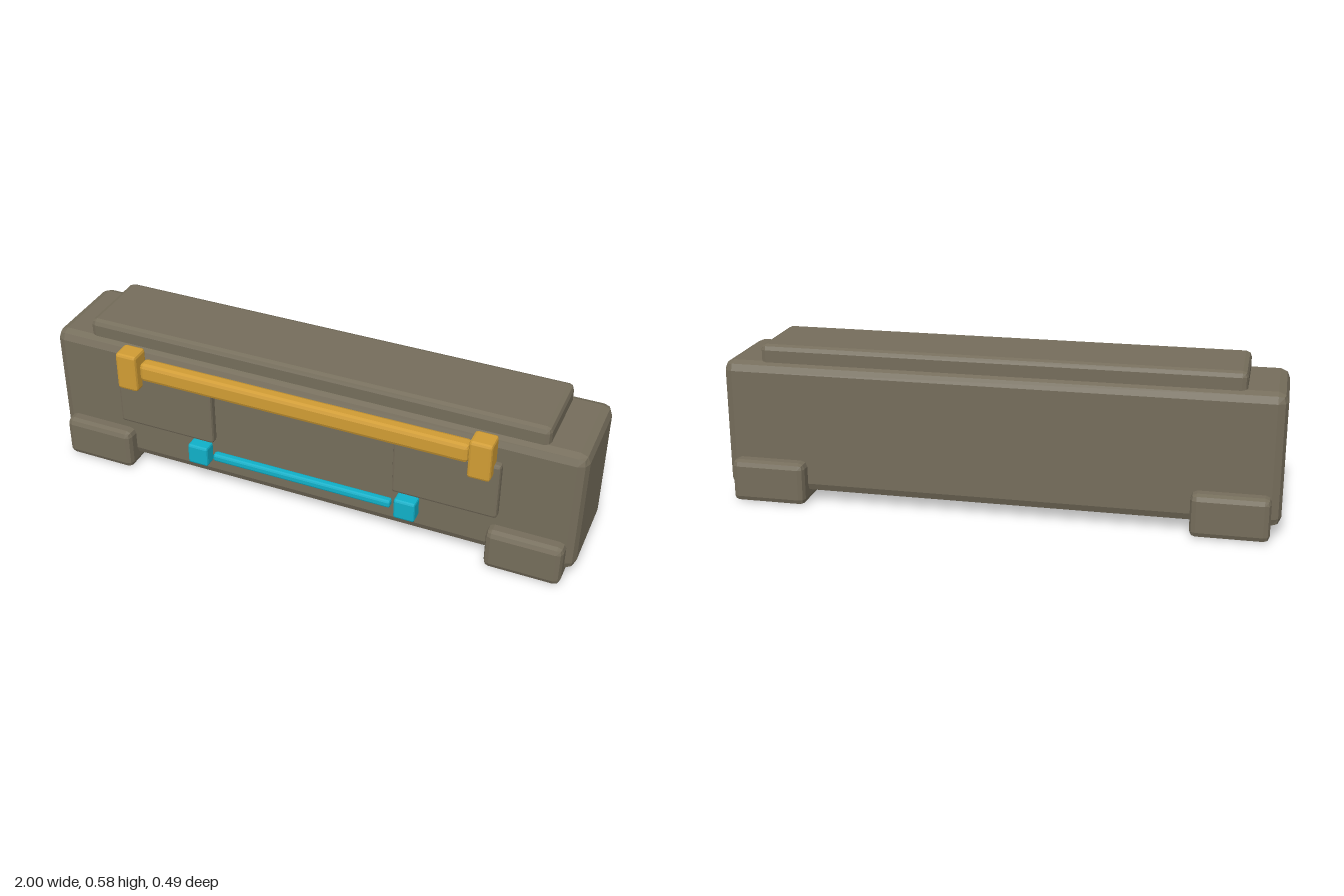
import * as THREE from 'three';
import { RoundedBoxGeometry } from 'three/addons/geometries/RoundedBoxGeometry.js';

export function createModel() {
  const model = new THREE.Group();
  const mat = (name, color) => {
    const m = new THREE.MeshStandardMaterial({ color, flatShading: true });
    m.name = name;
    return m;
  };
  const olive = mat('olive grey', 0x756d5b);
  const amber = mat('amber', 0xd09c34);
  const cyan = mat('cyan', 0x10b0c8);

  // Bevelled box given by its [min, max] extents on each axis
  function block(name, material, [x0, x1], [y0, y1], [z0, z1], bevel) {
    const geo = new RoundedBoxGeometry(x1 - x0, y1 - y0, z1 - z0, 1, bevel);
    const mesh = new THREE.Mesh(geo, material);
    mesh.name = name;
    mesh.position.set((x0 + x1) / 2, (y0 + y1) / 2, (z0 + z1) / 2);
    model.add(mesh);
  }
  // The same block on both sides of x = 0
  function pair(name, material, [x0, x1], y, z, bevel) {
    block(name + 'Left', material, [x0, x1], y, z, bevel);
    block(name + 'Right', material, [-x1, -x0], y, z, bevel);
  }

  // Main body and raised lid
  block('body', olive, [-1, 1], [0.035, 0.516], [-0.193, 0.17], 0.035);
  block('lid', olive, [-0.863, 0.863], [0.45, 0.577], [-0.165, 0.14], 0.02);

  // Feet run under the body from front to back
  pair('foot', olive, [0.693, 0.966], [0, 0.158], [-0.245, 0.221], 0.022);

  // Front panels
  pair('frontPanel', olive, [0.345, 0.725], [0.211, 0.432], [0.17, 0.207], 0.01);

  // Upper amber bar with end blocks
  block('upperBar', amber, [-0.617, 0.617], [0.428, 0.5], [0.175, 0.23], 0.015);
  pair('upperBarEnd', amber, [0.62, 0.701], [0.387, 0.534], [0.169, 0.246], 0.01);

  // Lower cyan bar with end blocks
  block('lowerBar', cyan, [-0.345, 0.345], [0.14, 0.17], [0.185, 0.215], 0.008);
  pair('lowerBarEnd', cyan, [0.362, 0.441], [0.115, 0.195], [0.173, 0.227], 0.008);

  return model;
}
